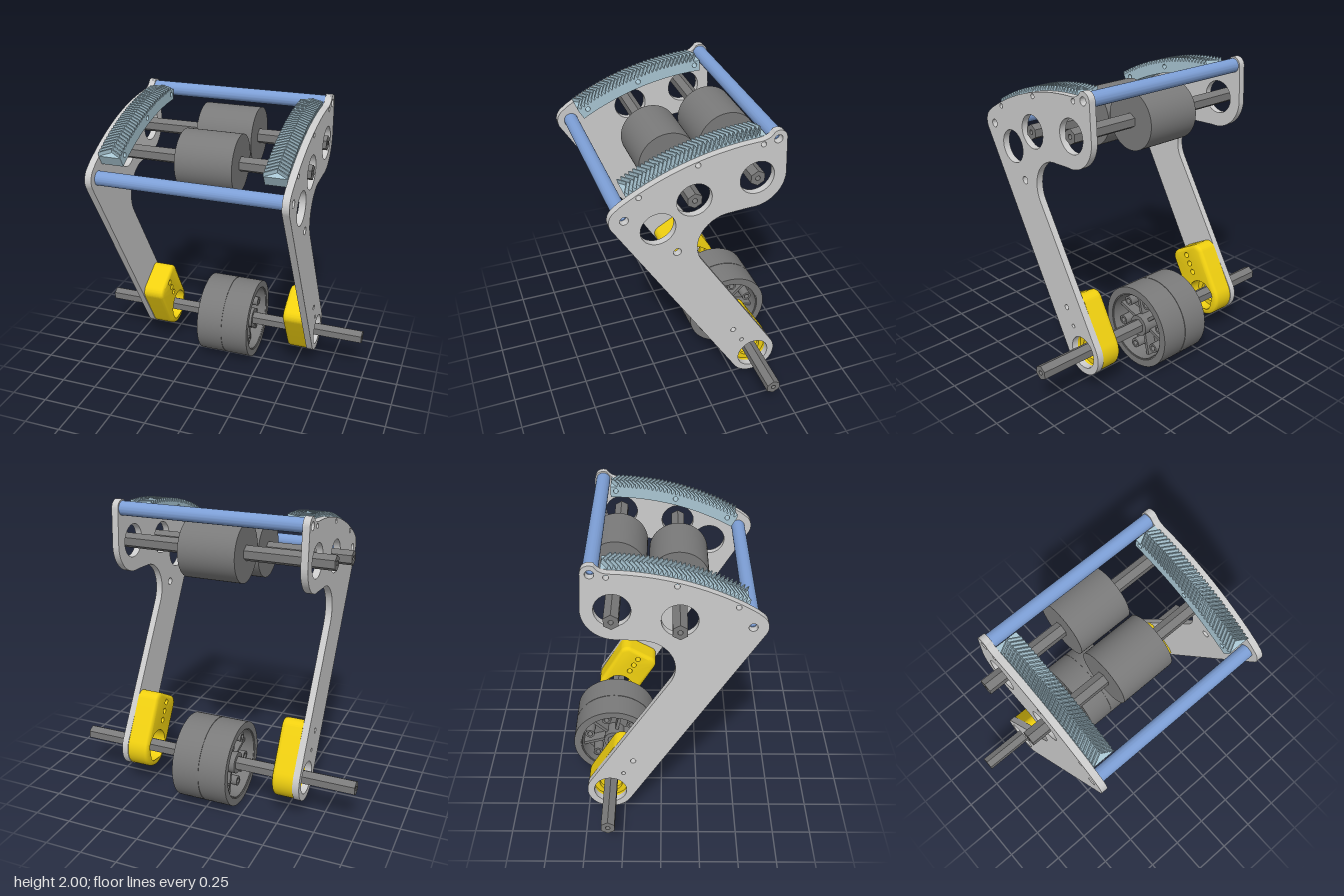
import * as THREE from 'three';
import { toCreasedNormals, mergeGeometries } from 'three/addons/utils/BufferGeometryUtils.js';

// Profiles are drawn in a side plane (u = -z, y) and extruded along x.
const GREY = 0xcccccc, DARK = 0x7a7a7a, YELLOW = 0xf0d010, BLUE = 0x7d9fd6, PALE = 0xa9c6d3;
const deg = Math.PI / 180;
const AXLE = [0.335, 0.285];                      // lower axle, also the centre of the racks
const ROLLERS = [[-0.108, 1.645], [0.275, 1.713]];
const TUBES = [[-0.525, 1.6], [0.39, 1.945]];
const LEG = [-0.506, 0.862];                      // direction up the leg
const onLeg = s => [AXLE[0] + LEG[0] * s, AXLE[1] + LEG[1] * s];
const onRack = (r, phi) => [AXLE[0] - r * Math.sin(phi), AXLE[1] + r * Math.cos(phi)];
const RACK_HOLES = [28, 15, 1.2].map(a => onRack(1.642, a * deg));
const BLOCK_HOLES = [0.178, 0.242, 0.306].map(onLeg);

const mat = color => new THREE.MeshStandardMaterial({ color });

function mesh(name, geometry, color) {
  const m = new THREE.Mesh(geometry, mat(color));
  m.name = name;
  return m;
}

function circle([u, y], r, Type = THREE.Path) {
  const p = new Type();
  p.absarc(u, y, r, 0, Math.PI * 2, false);
  return p;
}

function ring(c, outer, inner) {
  const s = circle(c, outer, THREE.Shape);
  s.holes.push(circle(c, inner));
  return s;
}

function slab(shape, w0, w1, curveSegments = 24) {
  const g = new THREE.ExtrudeGeometry(shape, { depth: w1 - w0, bevelEnabled: false, curveSegments });
  g.translate(0, 0, w0);
  return toCreasedNormals(g, 0.5);
}

// Side plate: leg with a wide curved head; only one side has the extra access holes
function plateShape(accessHoles) {
  const s = new THREE.Shape();
  s.absarc(...AXLE, 0.152, 30 * deg, 210.4 * deg, true);
  s.absarc(...TUBES[0], 0.09, 210.4 * deg, 123 * deg, true);
  s.absarc(...AXLE, 1.665, 122 * deg, 92 * deg, true);
  s.quadraticCurveTo(0.335, 1.95, 0.36, 1.985);
  s.absarc(...TUBES[1], 0.055, 115 * deg, 5 * deg, true);
  s.absarc(0.258, 1.712, 0.2, 0, -95 * deg, true);
  s.absarc(0.115, 1.305, 0.2, 97 * deg, 211 * deg, false);
  s.closePath();
  [AXLE, ...ROLLERS].forEach(c => s.holes.push(circle(c, 0.107)));
  TUBES.forEach(c => s.holes.push(circle(c, 0.026)));
  RACK_HOLES.forEach(c => s.holes.push(circle(c, 0.016)));
  s.holes.push(circle(BLOCK_HOLES[0], 0.014), circle(BLOCK_HOLES[2], 0.018));
  if (accessHoles) s.holes.push(circle([-0.327, 1.495], 0.107), circle([-0.21, 1.3], 0.025));
  return s;
}

// Hexagonal shaft with a small centre bore
function hexShaft([u, y], w0, w1) {
  const s = new THREE.Shape();
  for (let i = 0; i < 6; i++) {
    const a = (90 + 60 * i) * deg;
    s[i ? 'lineTo' : 'moveTo'](u + 0.049 * Math.cos(a), y + 0.049 * Math.sin(a));
  }
  s.closePath();
  s.holes.push(circle([u, y], 0.015));
  return slab(s, w0, w1);
}

// Bearing block: rounded on the edge of its inward face
function bearingBlock(side) {
  const hw = 0.147, top = 0.36, c = 0.06;
  const at = (s, t) => [onLeg(s)[0] + t * LEG[1], onLeg(s)[1] - t * LEG[0]];
  const s = new THREE.Shape();
  s.absarc(...AXLE, hw, 30.4 * deg, 210.4 * deg, true);
  s.absarc(...at(top - c, c - hw), c, 210.4 * deg, 120.4 * deg, true);
  s.absarc(...at(top - c, hw - c), c, 120.4 * deg, 30.4 * deg, true);
  s.closePath();
  const holes = [[AXLE, 0.11], ...BLOCK_HOLES.map(h => [h, 0.02])];
  holes.forEach(([h, r]) => s.holes.push(circle(h, r)));
  const depth = 0.146, round = 0.026;
  const g = new THREE.ExtrudeGeometry(s, { depth, steps: 20, bevelEnabled: false, curveSegments: 20 });
  const p = g.attributes.position;
  for (let i = 0; i < p.count; i++) {
    const u = p.getX(i), y = p.getY(i), w = p.getZ(i);
    const fromFace = side > 0 ? w : depth - w;
    if (fromFace >= round || holes.some(([h, r]) => Math.hypot(u - h[0], y - h[1]) < r + 0.003)) continue;
    const inset = round - Math.sqrt(round ** 2 - (round - fromFace) ** 2);
    const along = (u - AXLE[0]) * LEG[0] + (y - AXLE[1]) * LEG[1];
    const [cu, cy] = onLeg(Math.min(Math.max(along, 0), 0.24));
    const k = 1 - inset / Math.hypot(u - cu, y - cy);
    p.setXY(i, cu + (u - cu) * k, cy + (y - cy) * k);
  }
  g.translate(0, 0, side > 0 ? 0.447 : -0.447 - depth);
  return toCreasedNormals(g, 0.7);
}

// Herringbone teeth, each swept through three sections
function rackTeeth(w0, w1) {
  const pos = [], count = 32, start = 0.007, pitch = (30 * deg - 0.037) / (count - 1);
  for (let k = 0; k < count; k++) {
    const sections = [[w0, 0.024], [(w0 + w1) / 2, 0], [w1, 0.024]].map(([w, lag]) =>
      [[1.668, -0.0066], [1.695, -0.002], [1.695, 0.002], [1.668, 0.0066]].map(([r, d]) =>
        [...onRack(r, start + k * pitch + lag + d), w]));
    const quad = (a, b, c, d) => [a, b, c, a, c, d].forEach(v => pos.push(...v));
    for (let j = 0; j < 2; j++) {
      const a = sections[j], b = sections[j + 1];
      for (let i = 0; i < 4; i++) quad(a[i], a[(i + 1) % 4], b[(i + 1) % 4], b[i]);
    }
    quad(...sections[2]);
    quad(...[...sections[0]].reverse());
  }
  const g = new THREE.BufferGeometry();
  g.setAttribute('position', new THREE.Float32BufferAttribute(pos, 3));
  g.computeVertexNormals();
  return g;
}

function rackBody(w0, w1) {
  const s = new THREE.Shape();
  s.absarc(...AXLE, 1.6, 90 * deg, 120 * deg, false);
  s.absarc(...AXLE, 1.671, 120 * deg, 90 * deg, true);
  s.closePath();
  RACK_HOLES.forEach(c => s.holes.push(circle(c, 0.016)));
  return slab(s, w0, w1);
}

// Drive wheel: two tyres on a spoked core with six tubular bosses
function wheel() {
  const g = new THREE.Group();
  g.name = 'driveWheel';
  for (const [a, b] of [[-0.187, -0.002], [0.002, 0.187]])
    g.add(mesh('tyre', slab(ring(AXLE, 0.283, 0.235), a, b, 40), DARK));
  g.add(mesh('rim', slab(ring(AXLE, 0.279, 0.228), -0.18, 0.18, 40), DARK));
  g.add(mesh('hub', slab(ring(AXLE, 0.072, 0.04), -0.16, 0.16), DARK));
  const web = ring(AXLE, 0.23, 0.05), bosses = [], spokes = [];
  for (let i = 0; i < 6; i++) {
    const a = (13.6 + 60 * i) * deg;
    const c = [AXLE[0] + 0.178 * Math.cos(a), AXLE[1] + 0.178 * Math.sin(a)];
    web.holes.push(circle(c, 0.018));
    bosses.push(slab(ring(c, 0.033, 0.018), -0.14, 0.14, 10));
    const spoke = new THREE.BoxGeometry(0.17, 0.022, 0.24);
    spoke.translate(0.145, 0, 0).rotateZ(a + 30 * deg).translate(...AXLE, 0);
    spokes.push(spoke);
  }
  g.add(mesh('web', slab(web, -0.05, 0.05), DARK));
  g.add(mesh('bosses', mergeGeometries(bosses), DARK));
  g.add(mesh('spokes', mergeGeometries(spokes), DARK));
  return g;
}

export function createModel() {
  const model = new THREE.Group();
  model.name = 'rollerArm';
  const arm = new THREE.Group();
  arm.name = 'armAssembly';
  arm.rotation.y = Math.PI / 2;                   // u -> -z, extrusion -> +x
  model.add(arm);

  for (const side of [1, -1]) {
    const label = side > 0 ? 'left' : 'right';
    const span = (a, b) => side > 0 ? [a, b] : [-b, -a];
    arm.add(mesh(label + 'Plate', slab(plateShape(side > 0), ...span(0.593, 0.637)), GREY));
    arm.add(mesh(label + 'BearingBlock', bearingBlock(side), YELLOW));
    arm.add(mesh(label + 'BearingLip', slab(ring(AXLE, 0.112, 0.075), ...span(0.54, 0.57)), YELLOW));
    arm.add(mesh(label + 'RackBody', rackBody(...span(0.448, 0.593)), PALE));
    arm.add(mesh(label + 'RackTeeth', rackTeeth(...span(0.448, 0.593)), PALE));
  }

  // Cross tubes
  TUBES.forEach((c, i) =>
    arm.add(mesh(i ? 'rearCrossTube' : 'frontCrossTube', slab(ring(c, 0.045, 0.021), -0.593, 0.593), BLUE)));

  // Upper rollers on their shafts
  ROLLERS.forEach((c, i) => {
    const label = i ? 'rear' : 'front';
    arm.add(mesh(label + 'Roller', slab(ring(c, 0.187, 0.04), -0.187, 0.187, 40), DARK));
    arm.add(mesh(label + 'Shaft', hexShaft(c, -0.755, 0.645), DARK));
  });

  arm.add(mesh('lowerShaft', hexShaft(AXLE, -0.967, 0.967), DARK));
  arm.add(wheel());
  return model;
}
